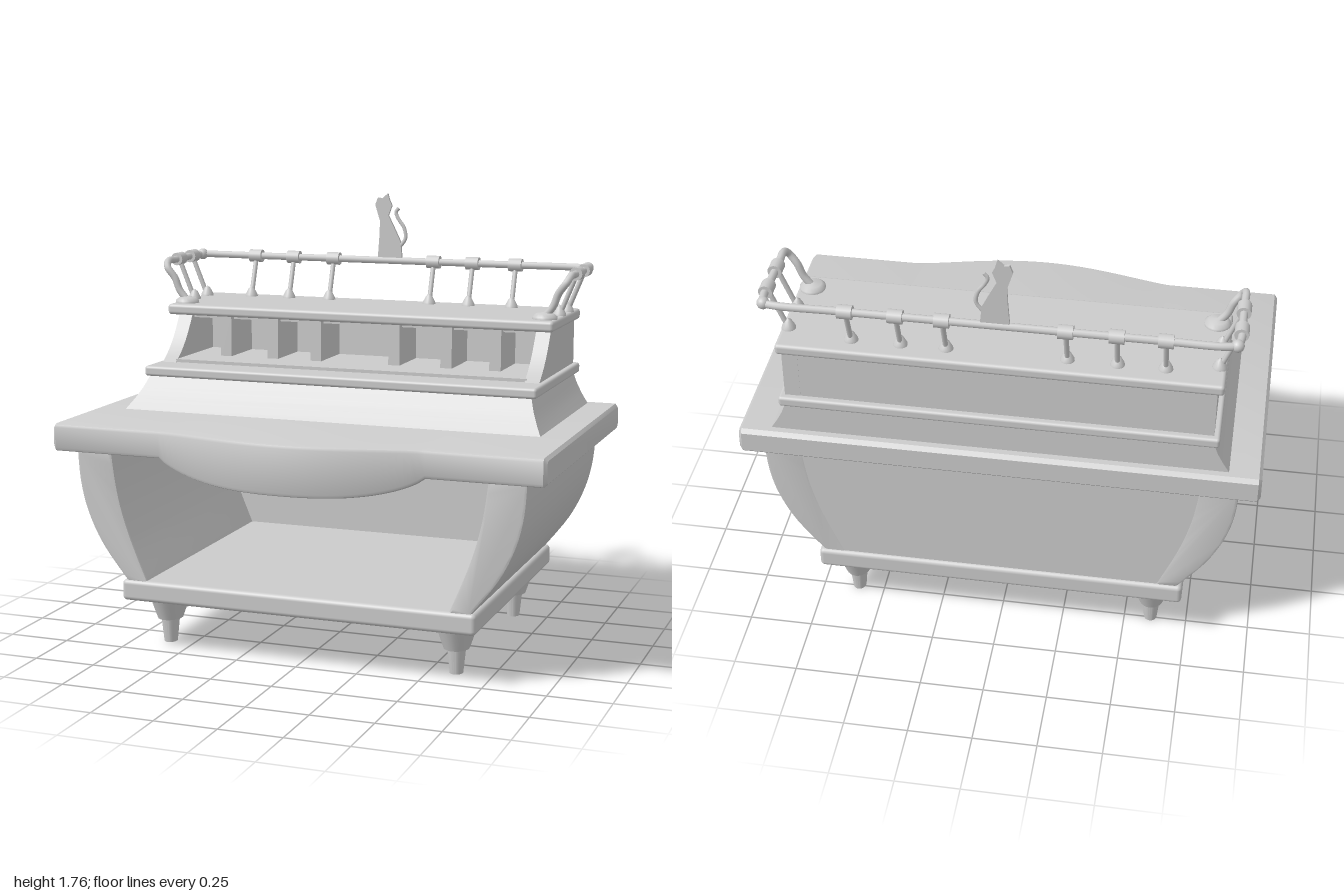
import * as THREE from 'three';
import { toCreasedNormals } from 'three/addons/utils/BufferGeometryUtils.js';
import { RoundedBoxGeometry } from 'three/addons/geometries/RoundedBoxGeometry.js';

const grey = new THREE.MeshStandardMaterial({ color: 0xcccccc });
const V = (x, y, z) => new THREE.Vector3(x, y, z);
const V2 = (p) => new THREE.Vector2(p[0], p[1]);

export function createModel() {
  const root = new THREE.Group();

  const add = (name, geometry, parent = root) => {
    const mesh = new THREE.Mesh(geometry, grey);
    mesh.name = name;
    parent.add(mesh);
    return mesh;
  };
  const group = (name) => {
    const g = new THREE.Group();
    g.name = name;
    root.add(g);
    return g;
  };
  // Box given by its limits on each axis, with optional rounded edges
  const block = (name, [x0, x1], [y0, y1], [z0, z1], r = 0, parent = root) => {
    const size = [x1 - x0, y1 - y0, z1 - z0];
    const geo = r ? new RoundedBoxGeometry(...size, 3, r) : new THREE.BoxGeometry(...size);
    const mesh = add(name, geo, parent);
    mesh.position.set((x0 + x1) / 2, (y0 + y1) / 2, (z0 + z1) / 2);
    return mesh;
  };
  // Closed skin through rings of points, capped at both ends
  const loft = (rings) => {
    const n = rings[0].length, last = (rings.length - 1) * n, index = [];
    for (let r = 0; r < rings.length - 1; r++) {
      for (let i = 0; i < n; i++) {
        const a = r * n + i, b = r * n + (i + 1) % n;
        index.push(a, b, b + n, a, b + n, a + n);
      }
    }
    for (let i = 1; i < n - 1; i++) index.push(0, i + 1, i, last, last + i, last + i + 1);
    const geo = new THREE.BufferGeometry().setFromPoints(rings.flat());
    geo.setIndex(index);
    return toCreasedNormals(geo, 0.65);
  };
  // Cylinder running from one point to another
  const rod = (name, a, b, r, parent, sides = 10) => {
    const mesh = add(name, new THREE.CylinderGeometry(r, r, a.distanceTo(b), sides), parent);
    mesh.position.lerpVectors(a, b, 0.5);
    mesh.quaternion.setFromUnitVectors(V(0, 1, 0), b.clone().sub(a).normalize());
    return mesh;
  };

  // Legs: a tapered cup over a narrow foot
  const legProfile = [[0, 0], [0.026, 0], [0.036, 0.1], [0.05, 0.1], [0.06, 0.13], [0.084, 0.205], [0, 0.205]];
  const legGeo = toCreasedNormals(new THREE.LatheGeometry(legProfile.map(V2), 24), 0.5);
  for (const x of [-0.605, 0.605]) {
    for (const z of [0.345, -0.49]) {
      const leg = add('leg', legGeo);
      leg.position.set(x, 0, z);
      leg.scale.z = 1.2;
    }
  }

  // Base plate
  block('basePlate', [-0.73, 0.73], [0.205, 0.29], [-0.62, 0.53], 0.018);

  // Swelling side panels
  const spline = (pts) => new THREE.SplineCurve(pts.map(V2)).getPoints(16);
  const outer = spline([[0.705, 0.28], [0.815, 0.423], [0.88, 0.557], [0.91, 0.68], [0.92, 0.81]]);
  const inner = spline([[0.62, 0.28], [0.70, 0.477], [0.745, 0.637], [0.77, 0.81]]);
  for (const s of [1, -1]) {
    const outline = [...outer, ...inner.slice().reverse()].map((p) => new THREE.Vector2(p.x * s, p.y));
    const geo = new THREE.ExtrudeGeometry(new THREE.Shape(outline), {
      depth: 1.107, bevelThickness: 0.01, bevelSize: 0.01, bevelOffset: -0.01, bevelSegments: 2,
    });
    geo.translate(0, 0, -0.597);
    add(s > 0 ? 'leftSidePanel' : 'rightSidePanel', toCreasedNormals(geo, 0.5));
  }

  // Back panel, tucked into the side panels
  const backHalf = inner.map((p) => new THREE.Vector2(p.x + 0.04, p.y));
  const backOutline = [...backHalf, ...backHalf.map((p) => new THREE.Vector2(-p.x, p.y)).reverse()];
  const backGeo = new THREE.ExtrudeGeometry(new THREE.Shape(backOutline), { depth: 0.05, bevelEnabled: false });
  backGeo.translate(0, 0, -0.605);
  add('backPanel', backGeo);

  // Desktop whose front edge swells forward and droops in the middle
  const deskRing = (x, inset) => {
    const t = Math.min(Math.abs(x) / 0.54, 1);
    const front = 0.57 + 0.09 * Math.pow(Math.max(Math.cos(t * Math.PI / 2), 0), 1.2) - inset;
    const low = 0.8 - 0.09 * Math.pow(1 - t ** 3, 0.8) + inset;
    const lo = 0.8 + inset, hi = 0.91 - inset, back = -0.66 + inset, r = 0.015;
    return [
      [lo, back + r], [lo + r, back], [hi - r, back], [hi, back + r],
      [hi, front - r], [hi - r * 0.3, front - r * 0.3], [hi - r, front],
      [low + r, front], [low + r * 0.3, front - r * 0.3], [low, front - r],
      [low, 0.535], [lo, 0.53],
    ].map(([y, z]) => V(x, y, z));
  };
  const deskRings = [deskRing(-1, 0.012), deskRing(-0.988, 0)];
  for (let i = 0; i <= 40; i++) deskRings.push(deskRing(-0.54 + i * 0.027, 0));
  deskRings.push(deskRing(0.988, 0), deskRing(1, 0.012));
  add('desktop', loft(deskRings));

  // Coved plinth of the upper cabinet: height, half width, front
  const plinth = [[0.905, 0.878, 0.178], [0.95, 0.85, 0.137], [0.99, 0.829, 0.104], [1.04, 0.81, 0.068]];
  add('plinth', loft(plinth.map(([y, w, f]) => [V(w, y, f), V(w, y, -0.62), V(-w, y, -0.62), V(-w, y, f)])));
  block('plinthMoulding', [-0.833, 0.833], [1.035, 1.077], [-0.645, 0.08], 0.012);

  // Pigeonhole cabinet with scooped end walls
  const scoop = spline([[-0.04, 1.07], [-0.105, 1.116], [-0.165, 1.177], [-0.23, 1.27]]);
  const endShape = new THREE.Shape([...scoop, V2([-0.62, 1.27]), V2([-0.62, 1.07])]);
  for (const x of [0.81, -0.75]) {
    const geo = new THREE.ExtrudeGeometry(endShape, { depth: 0.06, bevelEnabled: false });
    geo.rotateY(-Math.PI / 2);
    add('cabinetEnd', toCreasedNormals(geo, 0.5)).position.x = x;
  }
  block('cabinetBack', [-0.755, 0.755], [1.07, 1.27], [-0.619, -0.43]);
  block('cabinetFloor', [-0.755, 0.755], [1.07, 1.09], [-0.44, -0.06]);
  block('cabinetCeiling', [-0.755, 0.755], [1.245, 1.27], [-0.44, -0.24]);
  for (const x of [-0.59, -0.378, -0.185, 0.157, 0.38, 0.586]) {
    block('divider', [x - 0.024, x + 0.024], [1.08, 1.268], [-0.44, -0.21]);
  }
  block('cabinetTop', [-0.835, 0.835], [1.263, 1.307], [-0.625, -0.155], 0.014);

  // Gallery rail round the back and ends of the top
  const rail = group('galleryRail');
  const railY = 1.478, railX = 0.877, railZ = -0.607;
  const half = [
    [0.78, 1.315, -0.238], [0.815, 1.36, -0.236], [0.835, 1.41, -0.234], [0.868, 1.455, -0.232],
    [railX, railY, -0.26], [railX, railY, -0.32], [railX, railY, -0.45], [railX, railY, -0.56],
    [railX - 0.012, railY, -0.595], [railX - 0.05, railY, railZ], [0.6, railY, railZ], [0.2, railY, railZ],
  ];
  const path = [...half, ...half.map(([x, y, z]) => [-x, y, z]).reverse()].map((p) => V(...p));
  add('rail', new THREE.TubeGeometry(new THREE.CatmullRomCurve3(path), 220, 0.015, 10), rail);
  const flangeGeo = new THREE.LatheGeometry([[0.05, 0], [0.05, 0.012], [0.035, 0.024], [0, 0.03]].map(V2), 20);
  for (const x of [-0.78, 0.78]) {
    add('railFlange', flangeGeo, rail).position.set(x, 1.305, -0.238);
    add('railCorner', new THREE.SphereGeometry(0.024, 16, 12), rail).position.set(Math.sign(x) * 0.868, railY, -0.597);
  }

  // Leaning balusters: flared foot, thin stem and a collar on the rail
  const footGeo = new THREE.LatheGeometry([[0.028, 0], [0.026, 0.01], [0.013, 0.035], [0, 0.045]].map(V2), 16);
  const baluster = (foot, top, along) => {
    add('balusterFoot', footGeo, rail).position.copy(foot);
    rod('balusterStem', foot, top, 0.01, rail);
    const d = along.clone().multiplyScalar(0.028);
    rod('balusterCollar', top.clone().sub(d), top.clone().add(d), 0.027, rail, 16);
  };
  for (const x of [-0.614, -0.437, -0.252, 0.2, 0.372, 0.559]) {
    baluster(V(x, 1.305, -0.545), V(x, railY, railZ), V(1, 0, 0));
  }
  for (const s of [-1, 1]) {
    for (const z of [-0.37, -0.505]) {
      baluster(V(s * 0.807, 1.305, z), V(s * railX, railY, z), V(0, 0, 1));
    }
  }

  // Flat cat figure standing on the rail
  const cat = group('catFigure');
  const catOutline = [
    [-0.05, 1.48], [-0.043, 1.575], [-0.04, 1.645], [-0.051, 1.68], [-0.062, 1.715], [-0.05, 1.745], [-0.03, 1.742],
    [-0.006, 1.763], [0.002, 1.735], [0.013, 1.712], [-0.003, 1.67], [0.024, 1.617], [0.052, 1.56], [0.06, 1.48],
  ];
  const catGeo = new THREE.ExtrudeGeometry(new THREE.Shape(catOutline.map(V2)), { depth: 0.012, bevelEnabled: false });
  catGeo.translate(0, 0, -0.613);
  add('catBody', catGeo, cat);
  const tailPath = [[0.05, 1.54], [0.073, 1.575], [0.066, 1.62], [0.042, 1.655], [0.03, 1.685], [0.043, 1.703]];
  const tailCurve = new THREE.CatmullRomCurve3(tailPath.map(([x, y]) => V(x, y, 0)));
  const tail = add('catTail', new THREE.TubeGeometry(tailCurve, 24, 0.008, 8), cat);
  tail.scale.z = 0.75;
  tail.position.z = -0.607;

  return root;
}
